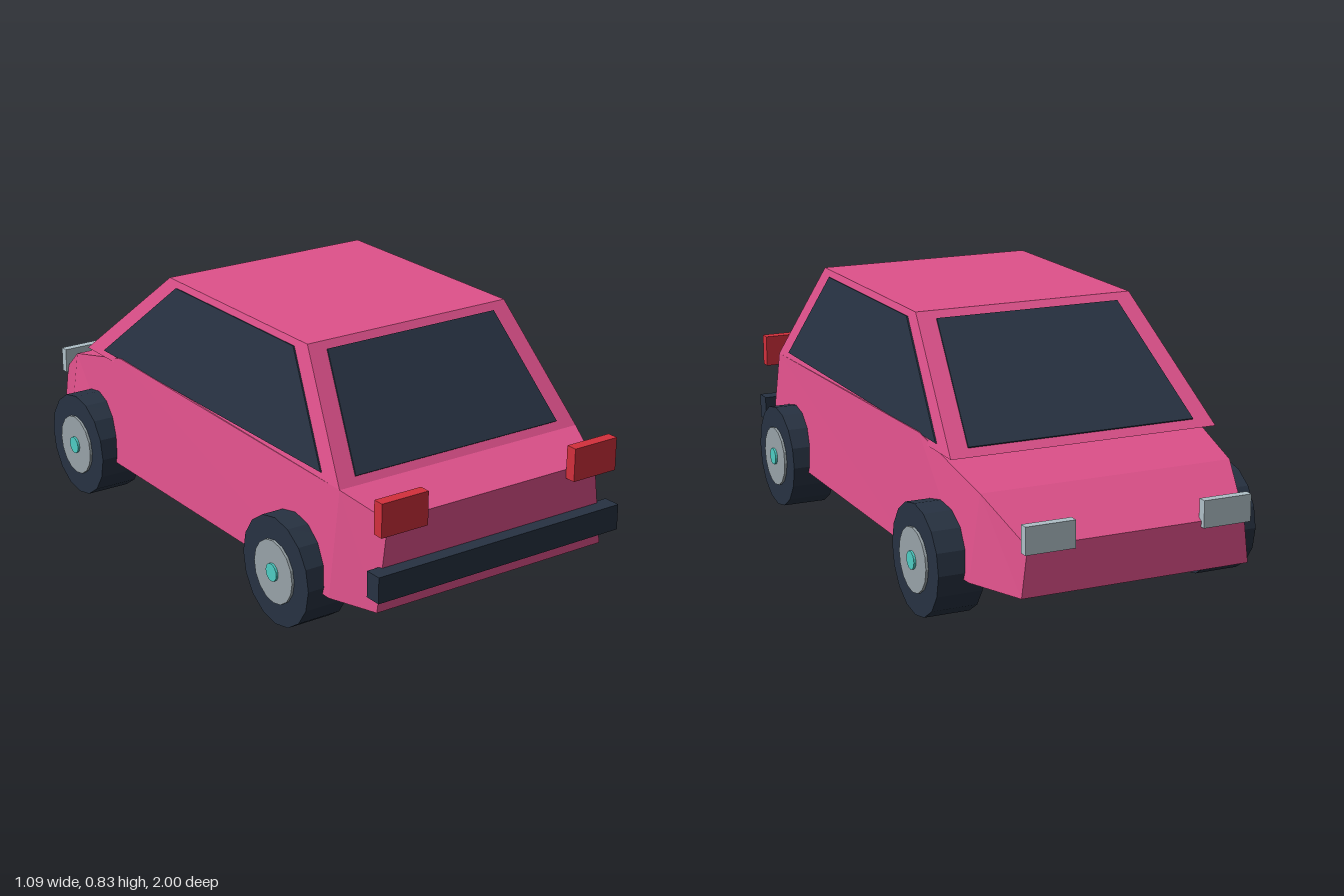
import * as THREE from 'three';

const paint = (name, color) => Object.assign(new THREE.MeshStandardMaterial({ color, flatShading: true }), { name });

// Flat-faced solid through rings of four corners (counter-clockwise seen from the last ring).
function loft(rings) {
  const pos = [];
  const quad = (a, b, c, d) => pos.push(...a, ...b, ...c, ...a, ...c, ...d);
  for (let i = 0; i < rings.length - 1; i++) {
    for (let j = 0; j < 4; j++) {
      const k = (j + 1) % 4;
      quad(rings[i][j], rings[i][k], rings[i + 1][k], rings[i + 1][j]);
    }
  }
  quad(...[...rings[0]].reverse());
  quad(...rings[rings.length - 1]);
  const g = new THREE.BufferGeometry();
  g.setAttribute('position', new THREE.Float32BufferAttribute(pos, 3));
  g.computeVertexNormals();
  return g;
}

// Thin plate lying on a sloping surface; corners counter-clockwise from outside.
function plate(corners) {
  const v = corners.map((c) => new THREE.Vector3(...c));
  const n = v[1].clone().sub(v[0]).cross(v[2].clone().sub(v[0])).normalize();
  const ring = (d) => v.map((p) => p.clone().addScaledVector(n, d).toArray());
  return loft([ring(-0.002), ring(0.005)]);
}

export function createModel() {
  const pink = paint('pinkPaint', 0xdf518b);
  const dark = paint('darkGlassAndRubber', 0x273242);
  const red = paint('redLens', 0xd3303c);
  const pale = paint('paleLens', 0xb0c0c8);
  const grey = paint('hubGrey', 0x98a3a8);
  const teal = paint('tealCap', 0x4ecdc4);

  const car = new THREE.Group();
  car.name = 'car';
  const add = (name, geo, mat, x = 0, y = 0, z = 0, parent = car) => {
    const m = new THREE.Mesh(geo, mat);
    m.name = name;
    m.position.set(x, y, z);
    parent.add(m);
    return m;
  };
  const box = (name, mat, x, y, z, w, h, d) => add(name, new THREE.BoxGeometry(w, h, d), mat, x, y, z);

  // Lower body: z, bottom half width, top half width, top height
  const base = 0.155;
  const sections = [
    [-0.985, 0.37, 0.352, 0.305],
    [-0.8, 0.447, 0.412, 0.418],
    [-0.44, 0.478, 0.445, 0.512],
    [0.8, 0.478, 0.442, 0.485],
    [0.955, 0.42, 0.385, 0.432],
  ];
  add('body', loft(sections.map(([z, b, t, y]) => [[-b, base, z], [b, base, z], [t, y, z], [-t, y, z]])), pink);

  // Cabin: height, half width, rear z, windscreen z
  const cabin = [[0.485, 0.442, 0.8, -0.665], [0.83, 0.367, 0.53, -0.24]];
  add('cabin', loft(cabin.map(([y, w, r, f]) => [[-w, y, r], [w, y, r], [w, y, f], [-w, y, f]])), pink);

  // Windows lie on the sloping cabin faces
  const lo = 0.506, hi = 0.808;
  const at = (y, i) => THREE.MathUtils.mapLinear(y, cabin[0][0], cabin[1][0], cabin[0][i], cabin[1][i]);
  const endWindow = (i, s) => plate([
    [-0.376 * s, lo, at(lo, i)], [0.376 * s, lo, at(lo, i)],
    [0.31 * s, hi, at(hi, i)], [-0.31 * s, hi, at(hi, i)],
  ]);
  add('frontWindow', endWindow(2, 1), dark);
  add('backWindow', endWindow(3, -1), dark);
  const sidePoints = [[lo, 0.705], [lo, -0.555], [hi, -0.19], [hi, 0.47]];

  // Bumper
  box('bumper', dark, 0, 0.25, 0.972, 0.896, 0.082, 0.056);

  // Wheel parts: name, radius, inner x, outer x
  const wheelParts = [
    ['tyre', dark, 0.172, 0.385, 0.53],
    ['hub', grey, 0.1, 0.5, 0.538],
    ['hubCap', teal, 0.028, 0.52, 0.545],
  ];
  for (const s of [1, -1]) {
    const side = s > 0 ? 'left' : 'right';
    const glass = sidePoints.map(([y, z]) => [s * at(y, 1), y, z]);
    add(side + 'Window', plate(s > 0 ? glass : glass.reverse()), dark);
    box(side + 'RedLight', red, s * 0.353, 0.457, 0.974, 0.163, 0.105, 0.036);
    box(side + 'PaleLight', pale, s * 0.287, 0.329, -0.986, 0.158, 0.084, 0.028);

    for (const z of [0.6, -0.6]) {
      const wheel = new THREE.Group();
      wheel.name = side + (z > 0 ? 'FrontWheel' : 'BackWheel');
      wheel.position.set(0, 0.176, z);
      car.add(wheel);
      for (const [name, mat, r, x0, x1] of wheelParts) {
        const g = new THREE.CylinderGeometry(r, r, x1 - x0, 16).rotateZ(Math.PI / 2);
        add(name, g, mat, s * (x0 + x1) / 2, 0, 0, wheel);
      }
    }
  }
  return car;
}
